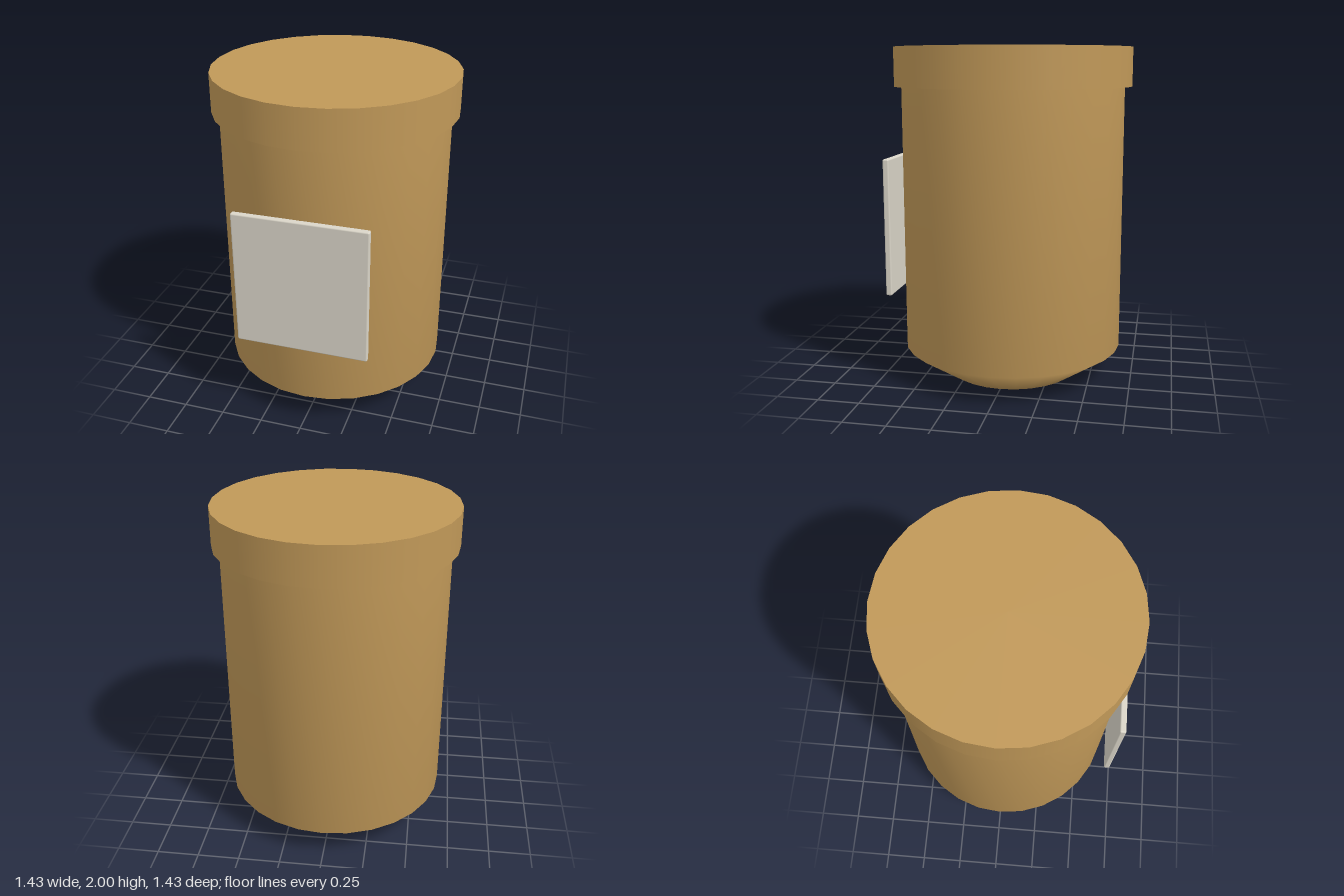
import * as THREE from 'three';
import { RoundedBoxGeometry } from 'three/addons/geometries/RoundedBoxGeometry.js';

const SIDES = 28;

export function createModel() {
  const model = new THREE.Group();
  model.name = 'canister';

  const brass = new THREE.MeshStandardMaterial({ color: 0xc09858 });
  brass.name = 'brass';
  const paleLabel = new THREE.MeshStandardMaterial({ color: 0xdad5c8 });
  paleLabel.name = 'pale label';

  const add = (name, geometry, material, y, z = 0) => {
    const mesh = new THREE.Mesh(geometry, material);
    mesh.name = name;
    mesh.position.set(0, y, z);
    model.add(mesh);
  };

  // Smooth body with a tapered foot, turned from bottom centre to the lid
  const profile = [[0, 0], [0.4, 0], [0.67, 0.18], [0.67, 1.78]]
    .map(([r, y]) => new THREE.Vector2(r, y));
  add('body', new THREE.LatheGeometry(profile, SIDES), brass, 0);

  // Wider flat lid
  add('lid', new THREE.CylinderGeometry(0.713, 0.713, 0.23, SIDES), brass, 1.885);

  // Blank label plate on the front, with softened edges
  add('labelPlate', new RoundedBoxGeometry(0.78, 0.82, 0.037, 2, 0.009), paleLabel, 0.945, 0.681);

  return model;
}
